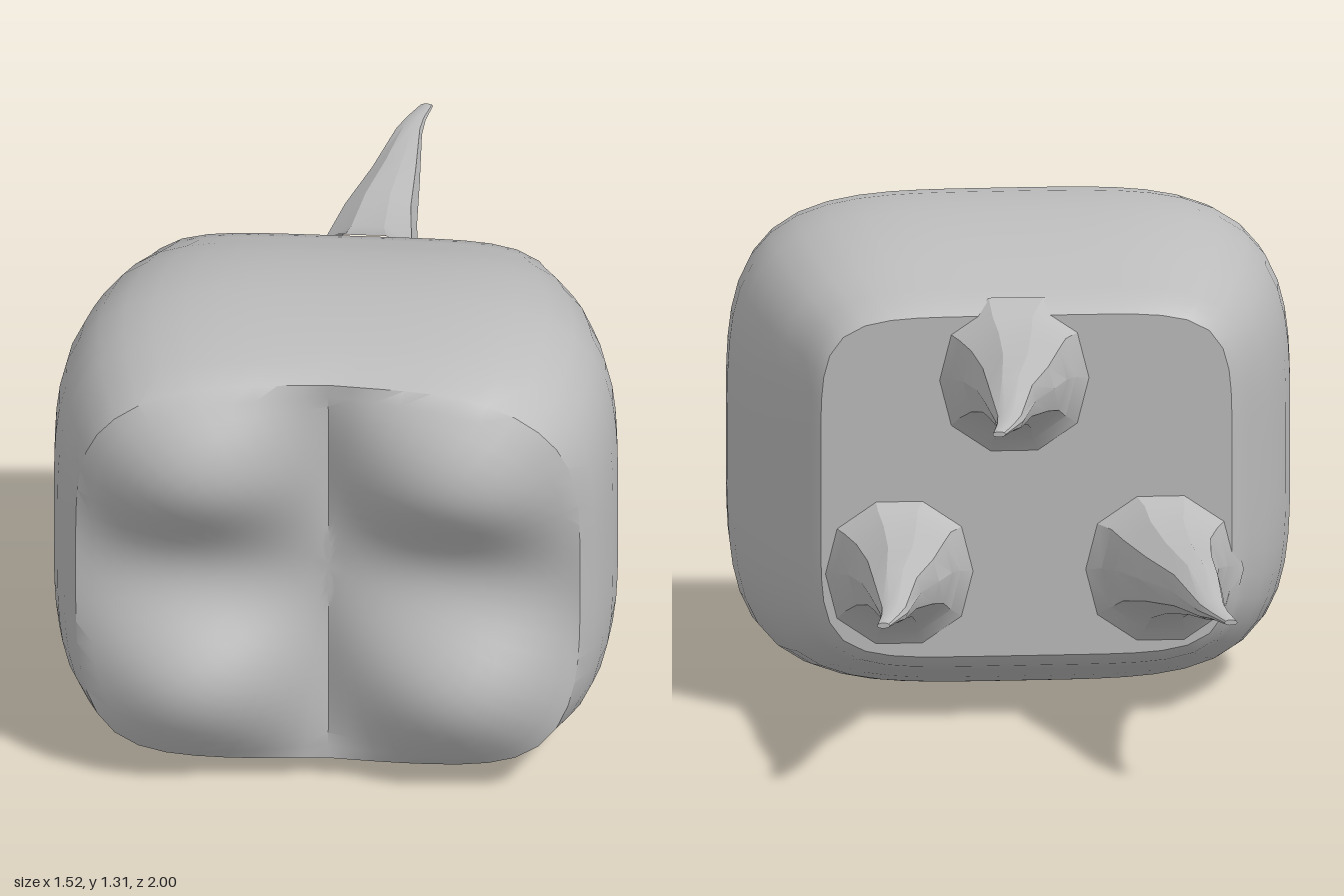
import * as THREE from 'three';
import { toCreasedNormals } from 'three/addons/utils/BufferGeometryUtils.js';

const CY = 0.655; // height of the crown axis

// Skin a list of equally long rings, ordered front to back, into one surface
function loft(rings, crease) {
  const n = rings[0].length;
  const pos = [];
  const tri = (a, b, c) => {
    if (a.distanceTo(b) < 1e-6 || b.distanceTo(c) < 1e-6 || c.distanceTo(a) < 1e-6) return;
    for (const p of [a, b, c]) pos.push(p.x, p.y, p.z);
  };
  for (let i = 0; i < rings.length - 1; i++) {
    for (let j = 0; j < n; j++) {
      const k = (j + 1) % n;
      tri(rings[i][j], rings[i + 1][j], rings[i][k]);
      tri(rings[i][k], rings[i + 1][j], rings[i + 1][k]);
    }
  }
  const geo = new THREE.BufferGeometry();
  geo.setAttribute('position', new THREE.Float32BufferAttribute(pos, 3));
  return toCreasedNormals(geo, crease);
}

// Rounded-square (superellipse) ring; z may be a function of x and y
function ring(cx, cy, hx, hy, z, power, count) {
  return Array.from({ length: count }, (_, j) => {
    const t = (j / count) * Math.PI * 2;
    const c = Math.cos(t), s = Math.sin(t);
    const r = 1 / Math.pow(Math.abs(c) ** power + Math.abs(s) ** power, 1 / power);
    const x = cx + hx * r * c, y = cy + hy * r * s;
    return new THREE.Vector3(x, y, typeof z === 'function' ? z(x, y) : z);
  });
}

// Four cusps with a sharp upright groove and a softer level groove
function cuspHeight(x, y) {
  const ax = Math.abs(x), ay = Math.abs(y - CY);
  const fx = ax < 0.36
    ? Math.sin((Math.PI / 2) * (ax / 0.36))
    : Math.cos((Math.PI / 2) * Math.min(1, (ax - 0.36) / 0.34));
  const fy = ay < 0.325
    ? 0.2 + 0.4 * (1 - Math.cos(Math.PI * (ay / 0.325)))
    : Math.cos((Math.PI / 2) * Math.min(1, (ay - 0.325) / 0.28));
  return 0.175 * fx * fy;
}

function crownGeometry() {
  const count = 64, rings = [];
  // chewing surface
  for (let i = 0; i <= 16; i++) {
    const s = i / 16;
    const z = (x, y) => 0.82 + 0.03 * s ** 3 + cuspHeight(x, y);
    rings.push(ring(0, CY, 0.68 * s, 0.585 * s, z, 4, count));
  }
  // sides and flat back: z, half width, half height, squareness
  const sides = [
    [0.8, 0.715, 0.615, 4], [0.72, 0.738, 0.634, 4], [0.62, 0.754, 0.648, 4],
    [0.5, 0.76, 0.653, 4], [0.4, 0.752, 0.646, 4], [0.3, 0.732, 0.63, 4],
    [0.2, 0.702, 0.606, 4.2], [0.1, 0.662, 0.57, 4.5], [0, 0.61, 0.527, 5],
    [-0.06, 0.58, 0.503, 5.5], [-0.085, 0.555, 0.47, 6], [-0.085, 0, 0, 6],
  ];
  for (const [z, hx, hy, p] of sides) rings.push(ring(0, CY + 0.005, hx, hy, z, p, count));
  return loft(rings, 0.6);
}

// One tapering root; side = 1 or -1 sets which way its straight edge faces
function rootGeometry(x0, dy, side, length) {
  // z, inner edge, outer edge, bottom, top
  const sections = [
    [-0.05, -0.36, 0.11, 0.7, 1.18],
    [-0.085, -0.32, 0.085, 0.75, 1.16],
    [-0.12, -0.28, 0.06, 0.79, 1.14],
    [-0.2, -0.25, 0.03, 0.84, 1.115],
    [-0.4, -0.2, 0.01, 0.9, 1.1],
    [-0.6, -0.135, 0.005, 0.945, 1.085],
    [-0.85, -0.08, -0.005, 0.99, 1.045],
    [-0.92, -0.055, 0, 1.005, 1.035],
    [-1, -0.02, 0.015, 1.01, 1.025],
  ];
  const rings = sections.map(([z, inner, outer, low, high]) =>
    ring(x0 + (side * (inner + outer)) / 2, (low + high) / 2 + dy,
      (outer - inner) / 2, (high - low) / 2, z * length, 2.3, 10));
  // close the tip
  const end = rings[rings.length - 1];
  const mid = end.reduce((m, p) => m.add(p), new THREE.Vector3()).divideScalar(end.length);
  rings.push(end.map(() => mid.clone()));
  return loft(rings, 0.5);
}

export function createModel() {
  const enamel = new THREE.MeshStandardMaterial({ color: 0xbbbbbb });
  enamel.name = 'enamelGrey';
  const model = new THREE.Group();
  model.name = 'molarTooth';
  const add = (name, geo) => {
    const mesh = new THREE.Mesh(geo, enamel);
    mesh.name = name;
    model.add(mesh);
  };

  add('crown', crownGeometry());
  add('upperRoot', rootGeometry(0.15, 0, 1, 0.99));
  add('lowerLeftRoot', rootGeometry(0.46, -0.53, 1, 0.96));
  add('lowerRightRoot', rootGeometry(-0.48, -0.53, -1, 1));
  return model;
}
